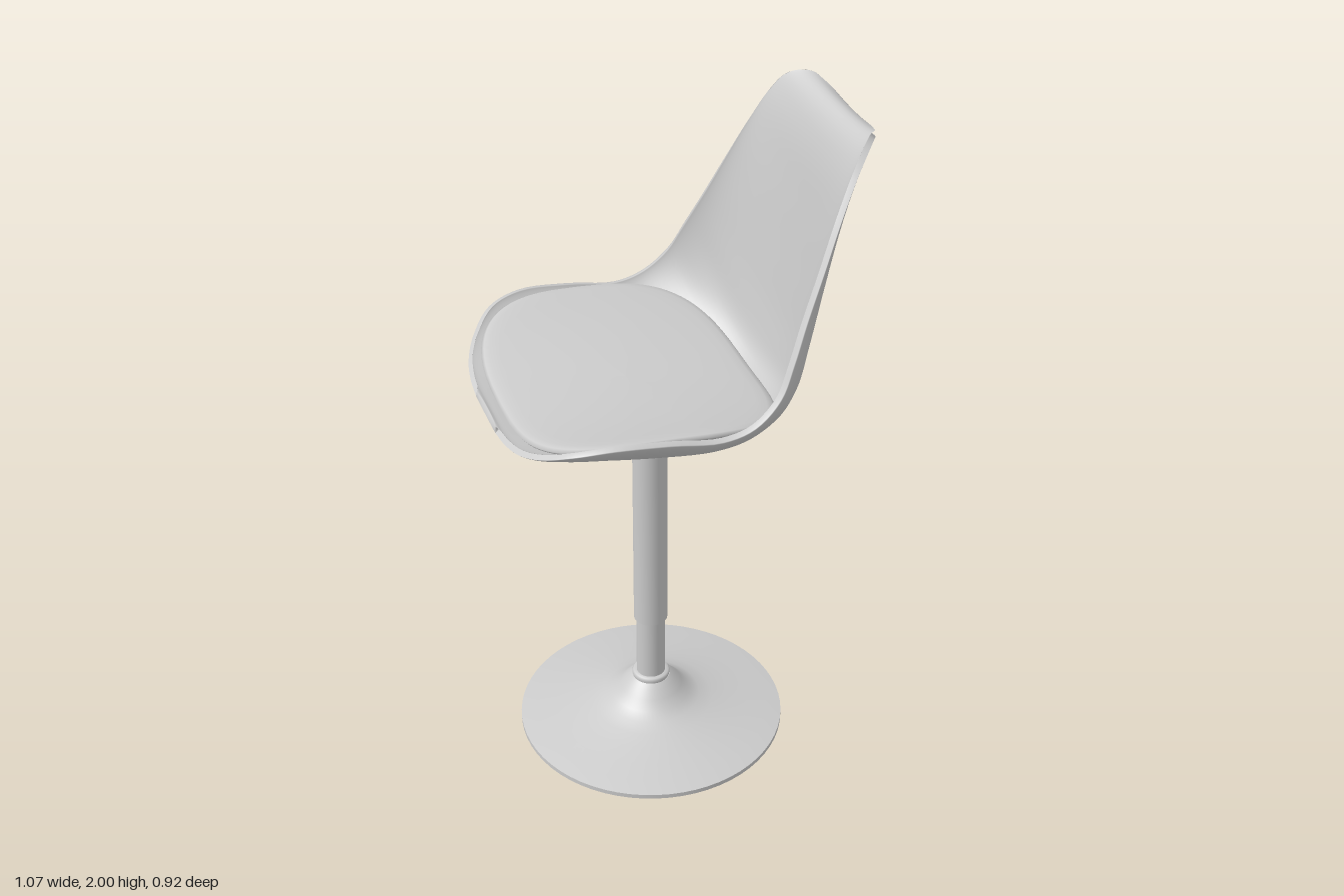
import * as THREE from 'three';

const material = new THREE.MeshStandardMaterial({
  color: 0xcccccc, roughness: 0.6, side: THREE.DoubleSide,
});

function addMesh(group, name, geometry, x = 0) {
  const mesh = new THREE.Mesh(geometry, material);
  mesh.name = name;
  mesh.position.x = x;
  group.add(mesh);
}

const lathe = (pts, seg = 48) =>
  new THREE.LatheGeometry(pts.map(([r, y]) => new THREE.Vector2(r, y)), seg);

const buildGeometry = (pos, idx) => {
  const g = new THREE.BufferGeometry();
  g.setAttribute('position', new THREE.Float32BufferAttribute(pos, 3));
  g.setIndex(idx);
  g.computeVertexNormals();
  return g;
};

// Bucket shell: bowed cross-sections swept from the front lip to the top of the back
function shellGeometry() {
  // rim x, rim y, half width, centre x, centre y
  const stations = [
    [-0.53, 1.212, 0.1, -0.53, 1.21], [-0.524, 1.22, 0.18, -0.517, 1.203],
    [-0.507, 1.234, 0.26, -0.495, 1.197],
    [-0.47, 1.262, 0.34, -0.45, 1.185], [-0.40, 1.303, 0.417, -0.38, 1.165],
    [-0.30, 1.322, 0.452, -0.28, 1.138], [-0.15, 1.311, 0.46, -0.15, 1.11],
    [0, 1.289, 0.46, 0, 1.103], [0.09, 1.313, 0.46, 0.12, 1.11],
    [0.165, 1.38, 0.448, 0.24, 1.14], [0.21, 1.47, 0.425, 0.31, 1.19],
    [0.255, 1.57, 0.395, 0.345, 1.30], [0.31, 1.69, 0.365, 0.38, 1.50],
    [0.37, 1.82, 0.33, 0.412, 1.70], [0.42, 1.912, 0.3, 0.442, 1.86],
    [0.462, 1.968, 0.27, 0.472, 1.938], [0.496, 1.984, 0.23, 0.499, 1.964],
    [0.518, 1.974, 0.19, 0.519, 1.958], [0.528, 1.962, 0.14, 0.528, 1.95],
  ];
  const rim = new THREE.CatmullRomCurve3(stations.map(s => new THREE.Vector3(s[0], s[1], s[2])));
  const mid = new THREE.CatmullRomCurve3(stations.map(s => new THREE.Vector3(s[3], s[4], 0)));
  const N = 90, M = 40, pos = [], outer = [];
  const at = (i, j) => i * (M + 1) + j;
  for (let i = 0; i <= N; i++) {
    // getPoint keeps both curves in step, station by station
    const r = rim.getPoint(i / N), c = mid.getPoint(i / N);
    for (let j = 0; j <= M; j++) {
      const t = Math.sin((j / M - 0.5) * Math.PI);
      const f = Math.pow(Math.max(0, 1 - t * t), 0.72);
      pos.push(r.x + (c.x - r.x) * f, r.y + (c.y - r.y) * f, r.z * t);
      if (i < N && j < M) {
        const a = at(i, j), b = at(i + 1, j), d = at(i, j + 1), e = at(i + 1, j + 1);
        outer.push(a, b, d, b, e, d);
      }
    }
  }
  // Inner skin, offset along the normals
  const normals = buildGeometry(pos, outer).attributes.normal.array;
  const count = pos.length / 3, thickness = 0.017;
  const all = pos.concat(pos.map((v, k) => v - normals[k] * thickness));
  const idx = outer.slice();
  for (let k = 0; k < outer.length; k += 3)
    idx.push(outer[k] + count, outer[k + 2] + count, outer[k + 1] + count);
  // Rim strip joining both skins
  const edge = [];
  for (let i = 0; i < N; i++) edge.push(at(i, 0));
  for (let j = 0; j < M; j++) edge.push(at(N, j));
  for (let i = N; i > 0; i--) edge.push(at(i, M));
  for (let j = M; j > 0; j--) edge.push(at(0, j));
  edge.forEach((p, k) => {
    const q = edge[(k + 1) % edge.length];
    idx.push(q, p, p + count, q, p + count, q + count);
  });
  return buildGeometry(all, idx);
}

// Seat cushion: rounded-square rings, dished across z, with a rolled edge
function cushionGeometry() {
  const seg = 72, pos = [], idx = [];
  const rings = [[0.001, 0], [0.2, 0], [0.4, 0], [0.6, 0], [0.75, 0], [0.87, 0],
    [0.94, -0.001], [0.98, -0.005], [1, -0.014], [0.985, -0.022], [0.93, -0.034]];
  const pw = (v, e) => Math.sign(v) * Math.pow(Math.abs(v), e);
  rings.forEach(([r, drop], i) => {
    for (let k = 0; k < seg; k++) {
      const a = (k / seg) * Math.PI * 2;
      const u = r * pw(Math.cos(a), 0.6), w = r * pw(Math.sin(a), 0.6);
      const y = 1.252 - 0.02 * u * u - 0.008 * u + (0.066 - 0.016 * u) * w * w;
      pos.push(-0.12 + 0.37 * u, y + drop, 0.438 * w);
      if (i < rings.length - 1) {
        const n = (k + 1) % seg, p = i * seg, q = p + seg;
        idx.push(p + k, p + n, q + k, p + n, q + n, q + k);
      }
    }
  });
  return buildGeometry(pos, idx);
}

export function createModel() {
  const group = new THREE.Group();
  group.name = 'swivelStool';
  const axis = -0.05;

  addMesh(group, 'seatShell', shellGeometry());
  addMesh(group, 'seatCushion', cushionGeometry());

  // Recessed mounting ring under the seat
  addMesh(group, 'mountRing', lathe([[0.05, 1.106], [0.1, 1.106], [0.108, 1.097],
    [0.12, 1.093], [0.14, 1.097], [0.155, 1.11], [0.17, 1.13]]), axis);

  // Telescopic column
  const column = (name, r, y0, y1) => {
    const g = new THREE.CylinderGeometry(r, r, y1 - y0, 32);
    g.translate(0, (y0 + y1) / 2, 0);
    addMesh(group, name, g, axis);
  };
  column('upperColumn', 0.051, 0.375, 1.115);
  column('lowerColumn', 0.044, 0.14, 0.38);

  // Flared round foot, with separate rim and underside for crisp edges
  addMesh(group, 'baseFlare', lathe([[0.407, 0.014], [0.36, 0.024], [0.3, 0.035], [0.24, 0.048],
    [0.19, 0.06], [0.15, 0.073], [0.12, 0.09], [0.095, 0.115], [0.075, 0.138], [0.058, 0.152]], 64), axis);
  addMesh(group, 'baseRim', lathe([[0.407, 0], [0.407, 0.014]], 64), axis);
  addMesh(group, 'baseUnderside', lathe([[0, 0], [0.407, 0]], 64), axis);
  addMesh(group, 'baseCollar', lathe([[0.056, 0.15], [0.058, 0.16], [0.054, 0.167], [0.043, 0.168]]), axis);

  return group;
}
